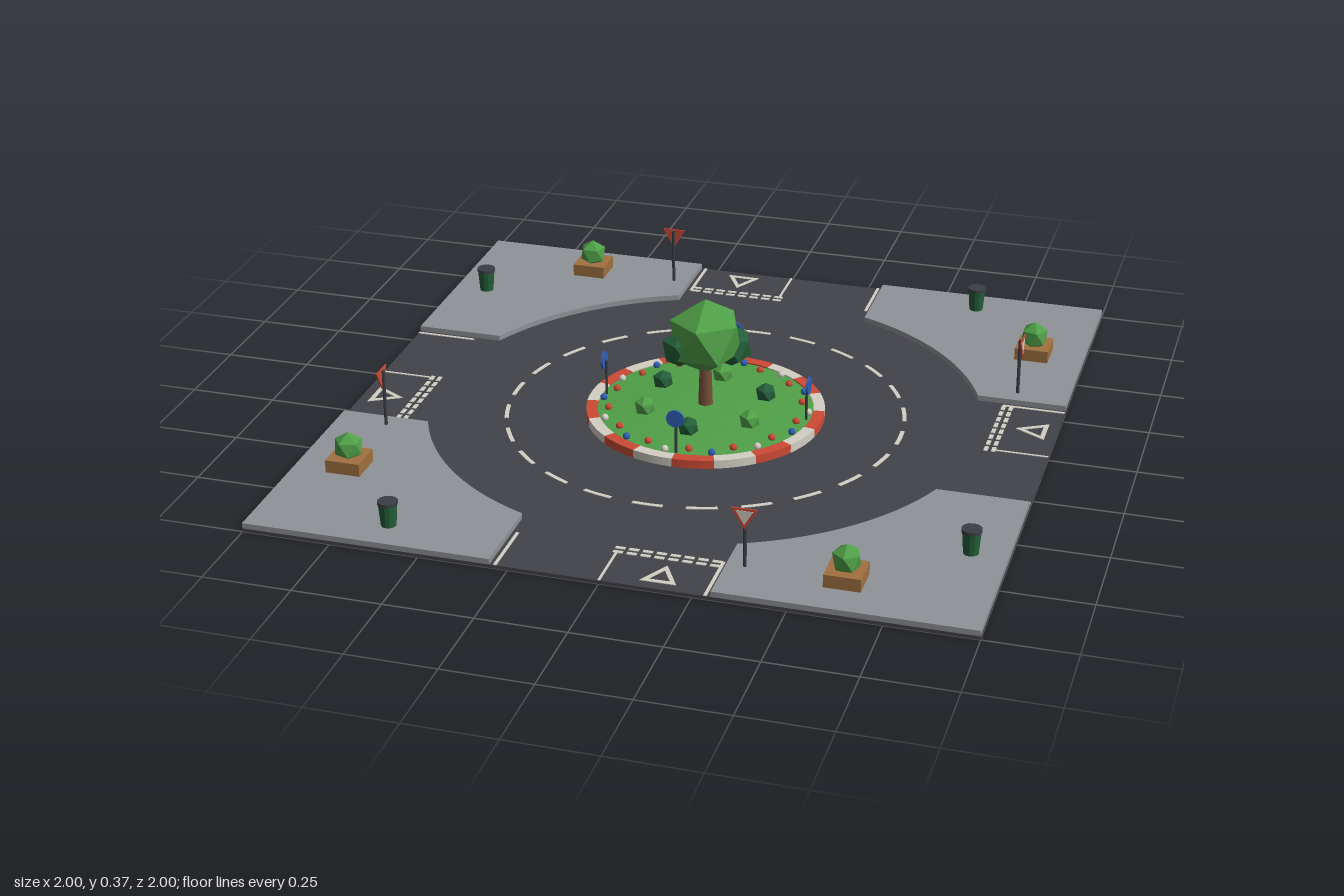
import * as THREE from 'three';

const mat = (name, color, flatShading = false) => {
  const m = new THREE.MeshStandardMaterial({ color, flatShading });
  m.name = name;
  return m;
};

export function createModel() {
  const asphalt = mat('asphalt', 0x42424a);
  const paving = mat('paving', 0x8f9297);
  const white = mat('white paint', 0xd3cfc4);
  const red = mat('red', 0xcc4a34);
  const blue = mat('blue', 0x2f5fb5);
  const leaf = mat('light leaf', 0x50a048, true);
  const darkLeaf = mat('dark leaf', 0x24603a, true);
  const wood = mat('planter wood', 0xa0713f);
  const bark = mat('bark', 0x76503a);
  const metal = mat('dark metal', 0x3c3e45);

  const model = new THREE.Group();
  model.name = 'roundabout';
  const ROAD = 0.01, PAVE = 0.026;

  const add = (parent, name, geo, material, x = 0, y = 0, z = 0) => {
    const m = new THREE.Mesh(geo, material);
    m.name = name;
    m.position.set(x, y, z);
    parent.add(m);
    return m;
  };
  const box = (w, h, d) => new THREE.BoxGeometry(w, h, d);
  const cyl = (top, bottom, h, n = 12) => new THREE.CylinderGeometry(top, bottom, h, n).translate(0, h / 2, 0);
  // faceted ball with one vertex pointing up
  const ball = (r) => new THREE.IcosahedronGeometry(r, 0).rotateX(-Math.atan((1 + Math.sqrt(5)) / 2));
  // horizontal slab from a plan outline (shape y is -z)
  const slab = (shape, h, seg = 6) =>
    new THREE.ExtrudeGeometry(shape, { depth: h, bevelEnabled: false, curveSegments: seg }).rotateX(-Math.PI / 2);
  // part of a flat ring, angles measured from +z towards +x
  const ringPart = (r0, r1, a0, a1, h) => {
    const s = new THREE.Shape();
    s.absarc(0, 0, r1, a0 - Math.PI / 2, a1 - Math.PI / 2, false);
    s.absarc(0, 0, r0, a1 - Math.PI / 2, a0 - Math.PI / 2, true);
    s.closePath();
    return slab(s, h);
  };
  // triangle in the xy plane, pointing up or down
  const triangle = (half, low, high, up) => {
    const base = up ? low : high, tip = up ? high : low;
    const pts = [[-half, base], [half, base], [0, tip]].map((p) => new THREE.Vector2(...p));
    return new THREE.Shape(up ? pts : pts.reverse());
  };

  // road slab
  add(model, 'road', box(2, ROAD, 2), asphalt, 0, ROAD / 2, 0);

  // dashed lane circle
  for (let i = 0; i < 24; i++) {
    const a = (i / 24) * Math.PI * 2;
    add(model, 'laneDash', ringPart(0.569, 0.581, a - 0.075, a + 0.075, 0.002), white, 0, ROAD, 0);
  }

  // central island: striped kerb and grass mound
  const island = new THREE.Group();
  island.name = 'island';
  model.add(island);
  const step = Math.PI / 9;
  for (let i = 0; i < 18; i++) {
    add(island, 'kerbBlock', ringPart(0.312, 0.345, i * step, (i + 1) * step, 0.025), i % 2 ? white : red, 0, ROAD, 0);
  }
  const mound = [[0.318, 0.01], [0.318, 0.031], [0.2, 0.039], [0.1, 0.043], [0.0001, 0.044]];
  add(island, 'grass', new THREE.LatheGeometry(mound.map((p) => new THREE.Vector2(...p)), 36), leaf);

  // tree
  add(island, 'trunk', cyl(0.016, 0.022, 0.17, 8), bark, 0, 0.04, 0);
  add(island, 'crown', ball(0.115), leaf, 0, 0.257, 0);
  add(island, 'leftLowerCrown', ball(0.064), darkLeaf, 0.065, 0.215, -0.045);
  add(island, 'rightLowerCrown', ball(0.056), darkLeaf, -0.064, 0.228, 0.042);

  // ring of bushes
  for (let i = 0; i < 6; i++) {
    const a = (i * Math.PI) / 3;
    add(island, 'bush', ball(0.032), i % 2 ? leaf : darkLeaf, 0.18 * Math.sin(a), 0.054, 0.18 * Math.cos(a));
  }

  // flower border
  const flowerColours = [red, blue, red, white];
  const flower = new THREE.SphereGeometry(0.011, 8, 6);
  for (let i = 0; i < 28; i++) {
    const a = ((i + 0.5) / 28) * Math.PI * 2, r = i % 2 ? 0.3 : 0.28;
    add(island, 'flower', flower, flowerColours[i % 4], r * Math.sin(a), 0.038, r * Math.cos(a));
  }

  // everything that repeats on the four arms
  const pavement = new THREE.Shape();
  const a0 = Math.asin(0.3 / 0.8);
  pavement.moveTo(0.3, -1);
  pavement.lineTo(1, -1);
  pavement.lineTo(1, -0.3);
  pavement.lineTo(0.8 * Math.cos(a0), -0.3);
  pavement.absarc(0, 0, 0.8, -a0, a0 - Math.PI / 2, true);
  pavement.closePath();

  const arrow = triangle(0.05, -0.97, -0.88, true);
  arrow.holes.push(triangle(0.029, -0.957, -0.905, true));

  for (let k = 0; k < 4; k++) {
    const arm = new THREE.Group();
    arm.name = 'arm' + (k + 1);
    arm.rotation.y = (k * Math.PI) / 2;
    model.add(arm);

    add(arm, 'pavement', slab(pavement, PAVE - 0.006, 20), paving, 0, 0.006, 0);

    // lane markings
    const line = (name, w, d, x, z) => add(arm, name, box(w, 0.002, d), white, x, ROAD + 0.001, z);
    line('edgeLine', 0.009, 0.18, -0.285, 0.91);
    line('edgeLine', 0.009, 0.18, 0.285, 0.91);
    line('centreLine', 0.007, 0.15, 0, 0.925);
    for (let i = 0; i < 8; i++) {
      for (const z of [0.823, 0.845]) line('giveWayDash', 0.027, 0.012, 0.003 + i * 0.038, z);
    }
    add(arm, 'giveWayTriangle', slab(arrow, 0.002), white, 0.15, ROAD, 0);

    // give-way sign
    add(arm, 'signPost', cyl(0.005, 0.005, 0.17, 8), metal, 0.35, PAVE, 0.85);
    const plate = { depth: 0.004, bevelEnabled: false };
    add(arm, 'giveWaySign', new THREE.ExtrudeGeometry(triangle(0.036, 0.138, 0.199, false), plate), red, 0.35, 0, 0.855);
    add(arm, 'giveWayFace', new THREE.ExtrudeGeometry(triangle(0.024, 0.152, 0.193, false), { ...plate, depth: 0.001 }),
      white, 0.35, 0, 0.859);

    // planter with bush
    add(arm, 'planter', box(0.1, 0.037, 0.1), wood, 0.62, PAVE + 0.0185, 0.85);
    add(arm, 'planterBush', ball(0.043), leaf, 0.62, 0.09, 0.85);

    // litter bin
    add(arm, 'bin', cyl(0.026, 0.021, 0.064), darkLeaf, 0.9, PAVE, 0.62);
    add(arm, 'binLid', cyl(0.028, 0.028, 0.009), metal, 0.9, PAVE + 0.064, 0.62);

    // round direction sign on the island
    add(arm, 'roundSignPost', cyl(0.004, 0.004, 0.11, 8), metal, 0, 0.03, 0.3);
    add(arm, 'roundSign', new THREE.CylinderGeometry(0.026, 0.026, 0.006, 20).rotateX(Math.PI / 2), blue, 0, 0.14, 0.306);
  }
  return model;
}
